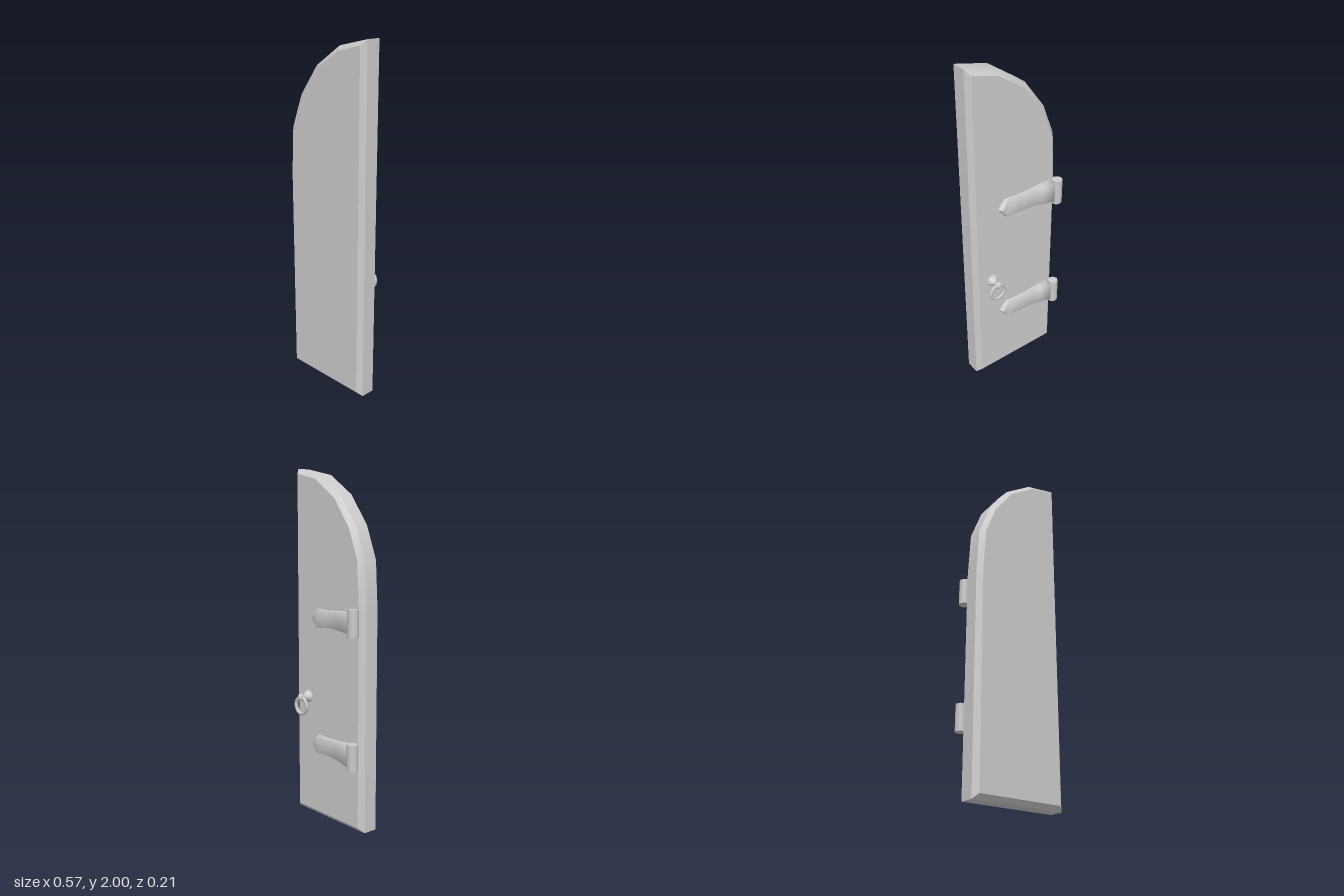
import * as THREE from 'three';
import { toCreasedNormals } from 'three/addons/utils/BufferGeometryUtils.js';

const BACK = -0.03; // z of the panel's back face, where the fittings sit
const material = new THREE.MeshStandardMaterial({ color: 0xcccccc });

function part(name, geometry, parent) {
  const mesh = new THREE.Mesh(geometry, material);
  mesh.name = name;
  parent.add(mesh);
  return mesh;
}

// Door leaf: half-arch outline with chamfered front and back rims
function panelGeometry() {
  const outline = [
    [-0.285, 0], [0.285, 0], [0.285, 2], [0.095, 1.956], [-0.075, 1.842],
    [-0.2, 1.675], [-0.27, 1.495], [-0.285, 1.23],
  ].map(([x, y]) => new THREE.Vector2(x, y));
  const bevel = 0.027;
  const geometry = new THREE.ExtrudeGeometry(new THREE.Shape(outline), {
    depth: 0.136 - 2 * bevel, bevelEnabled: true, bevelSegments: 1,
    bevelSize: bevel, bevelThickness: bevel, bevelOffset: -bevel,
  });
  geometry.translate(0, 0, BACK + bevel);
  return toCreasedNormals(geometry, 0.5);
}

// Hinge strap: trapezoid sections swept along x to a pointed tip
function strapGeometry() {
  // base x, crown x, half height, crown z
  const sections = [
    [-0.245, -0.23, 0.064, -0.087],
    [-0.17, -0.165, 0.057, -0.075],
    [-0.1, -0.1, 0.052, -0.062],
    [0, 0, 0.05, -0.058],
    [0.075, 0.068, 0.056, -0.054],
    [0.12, 0.105, 0.002, -0.053],
  ];
  const profile = [[-1, 0], [-0.88, 1], [0.88, 1], [1, 0]];
  const n = profile.length;
  const positions = [];
  const index = [0, 2, 1, 0, 3, 2]; // cap behind the barrel
  sections.forEach(([xBase, xCrown, half, zCrown], i) => {
    for (const [v, t] of profile) {
      positions.push(
        THREE.MathUtils.lerp(xBase, xCrown, t), v * half,
        THREE.MathUtils.lerp(BACK, zCrown, t));
    }
    if (i === sections.length - 1) return;
    for (let j = 0; j < n - 1; j++) {
      const a = i * n + j;
      index.push(a, a + 1, a + n, a + 1, a + n + 1, a + n);
    }
  });
  const geometry = new THREE.BufferGeometry();
  geometry.setAttribute('position', new THREE.Float32BufferAttribute(positions, 3));
  geometry.setIndex(index);
  geometry.computeVertexNormals();
  return geometry;
}

function createHinge(name, y) {
  const hinge = new THREE.Group();
  hinge.name = name;
  hinge.position.y = y;
  part('hingeStrap', strapGeometry(), hinge);
  const barrel = new THREE.CylinderGeometry(0.031, 0.031, 0.148, 8);
  part('hingeBarrel', barrel, hinge).position.set(-0.256, 0, -0.07);
  return hinge;
}

// Ring pull: flared mount, eye and hanging ring
function createHandle() {
  const handle = new THREE.Group();
  handle.name = 'ringHandle';
  handle.position.set(0.168, 0.7, 0);

  const profile = [[0.036, 0], [0.035, 0.011], [0.016, 0.03], [0.013, 0.036], [0.013, 0.046]]
    .map(([r, h]) => new THREE.Vector2(r, h));
  const mount = new THREE.LatheGeometry(profile, 10);
  mount.rotateX(-Math.PI / 2);
  part('handleMount', mount, handle).position.z = BACK;

  const eye = new THREE.TorusGeometry(0.013, 0.009, 8, 10);
  eye.rotateY(Math.PI / 2);
  eye.scale(1.75, 1, 1);
  part('handleEye', eye, handle).position.z = -0.085;

  const ring = new THREE.TorusGeometry(0.049, 0.011, 6, 14);
  part('handleRing', ring, handle).position.set(0, -0.048, -0.084);
  return handle;
}

export function createModel() {
  const door = new THREE.Group();
  door.name = 'archedDoor';
  part('doorPanel', panelGeometry(), door);
  door.add(createHinge('upperHinge', 1.163), createHinge('lowerHinge', 0.437), createHandle());
  return door;
}
